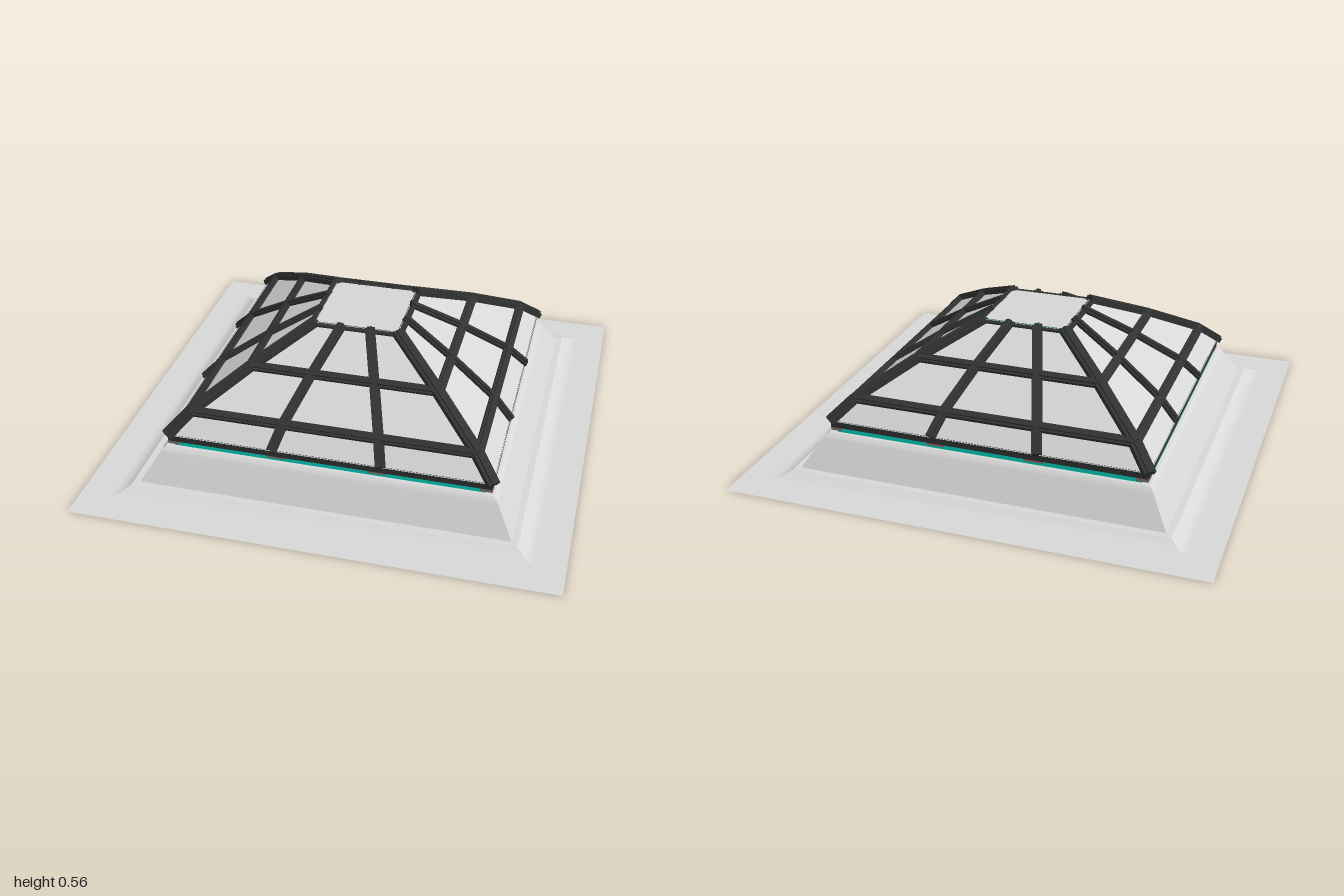
import * as THREE from 'three';

const mat = (name, color, side = THREE.FrontSide) => {
  const m = new THREE.MeshStandardMaterial({ color, side });
  m.name = name;
  return m;
};

export function createModel() {
  const curbGray = mat('curb gray', 0xd8d8d8, THREE.DoubleSide);
  const paneGray = mat('pane gray', 0xd6d6d6, THREE.DoubleSide);
  const barBlack = mat('bar black', 0x313333);
  const sealTeal = mat('seal teal', 0x00d8c4);
  const padBrown = mat('pad brown', 0x8a7471);
  const V = (x, y, z) => new THREE.Vector3(x, y, z);

  // One side of a square ring; the profile runs [half width, height] from outside to inside
  const strip = (name, profile, material) => {
    const pos = [], index = [];
    profile.forEach(([r, y], i) => {
      pos.push(-r, y, r, r, y, r);
      const a = 2 * i;
      if (i) index.push(a - 2, a - 1, a + 1, a - 2, a + 1, a);
    });
    const g = new THREE.BufferGeometry();
    g.setAttribute('position', new THREE.Float32BufferAttribute(pos, 3));
    g.setIndex(index);
    g.computeVertexNormals();
    const m = new THREE.Mesh(g, material);
    m.name = name;
    return m;
  };

  const box = (name, material, w, h, d, x, y, z) => {
    const m = new THREE.Mesh(new THREE.BoxGeometry(w, h, d), material);
    m.position.set(x, y, z);
    m.name = name;
    return m;
  };

  // Glazing bar between two points: a wide base with a narrower raised rib
  const bar = (name, a, b, up, w) => {
    const g = new THREE.Group();
    g.name = name;
    const dir = b.clone().sub(a), len = dir.length();
    dir.normalize();
    const across = up.clone().cross(dir).normalize();
    g.add(box('barBase', barBlack, w, 0.024, len, 0, 0, 0),
      box('barRib', barBlack, w * 0.5, 0.01, len, 0, 0.015, 0));
    g.quaternion.setFromRotationMatrix(
      new THREE.Matrix4().makeBasis(across, dir.clone().cross(across), dir));
    g.position.copy(a).add(b).multiplyScalar(0.5);
    return g;
  };

  // Slightly convex pyramid profile, bottom to top
  const levels = [[0.68, 0.212], [0.6, 0.292], [0.4, 0.419], [0.18, 0.54]];

  const model = new THREE.Group();
  model.name = 'pyramidSkylight';

  for (let k = 0; k < 4; k++) {
    const side = new THREE.Group();
    side.name = 'side' + (k + 1);
    side.rotation.y = k * Math.PI / 2;
    model.add(side);

    // Ground flange and sloping curb
    side.add(strip('flange', [[1, 0], [0.87, 0], [0.84, 0.002], [0.803, 0.025]], curbGray),
      strip('flangeStep', [[0.803, 0.025], [0.775, 0.025]], curbGray),
      strip('curb', [[0.775, 0.025], [0.706, 0.14], [0.698, 0.153], [0.685, 0.163]], curbGray),
      strip('curbLedge', [[0.685, 0.163], [0.64, 0.165]], curbGray));

    // Seal, corner pad and bar-end pads under the glazing
    side.add(box('seal', sealTeal, 1.3, 0.018, 0.025, 0, 0.173, 0.66),
      box('cornerPad', padBrown, 0.05, 0.02, 0.05, 0.652, 0.181, 0.652),
      box('eaveBar', barBlack, 1.35, 0.03, 0.024, 0, 0.2, 0.666));
    for (const s of [-1, 1])
      side.add(box('barPad', padBrown, 0.08, 0.012, 0.02, s * 0.21, 0.181, 0.666));

    for (let i = 0; i < 3; i++) {
      const [r0, y0] = levels[i], [r1, y1] = levels[i + 1];
      const dr = r0 - r1, dy = y1 - y0;
      side.add(strip('pane', [levels[i], levels[i + 1]], paneGray));
      // Rafters spread towards the eave
      for (const s of [-1, 1])
        side.add(bar('rafter', V(s * r0 / 3, y0, r0), V(s * r1 / 3, y1, r1), V(0, dr, dy), 0.042));
      // Hip bar on the corner
      side.add(bar('hipBar', V(r0, y0, r0), V(r1, y1, r1),
        V(dy / Math.SQRT2, dr * Math.SQRT2, dy / Math.SQRT2), 0.052));
      // Cross bars at the two middle levels
      if (i > 0) side.add(bar('crossBar', V(-r0, y0, r0), V(r0, y0, r0), V(0, dr, dy), 0.04));
    }

    // Thin dark frame around the cap
    side.add(box('capFrame', barBlack, 0.4, 0.008, 0.03, 0, 0.535, 0.19));
  }

  // Flat top pane with clipped corners
  const c = 0.178, e = 0.16;
  const shape = new THREE.Shape([[c, -e], [c, e], [e, c], [-e, c], [-c, e], [-c, -e], [-e, -c], [e, -c]]
    .map(p => new THREE.Vector2(...p)));
  const cap = new THREE.Mesh(new THREE.ShapeGeometry(shape), paneGray);
  cap.name = 'capPane';
  cap.rotation.x = -Math.PI / 2;
  cap.position.y = 0.542;
  model.add(cap);

  return model;
}
